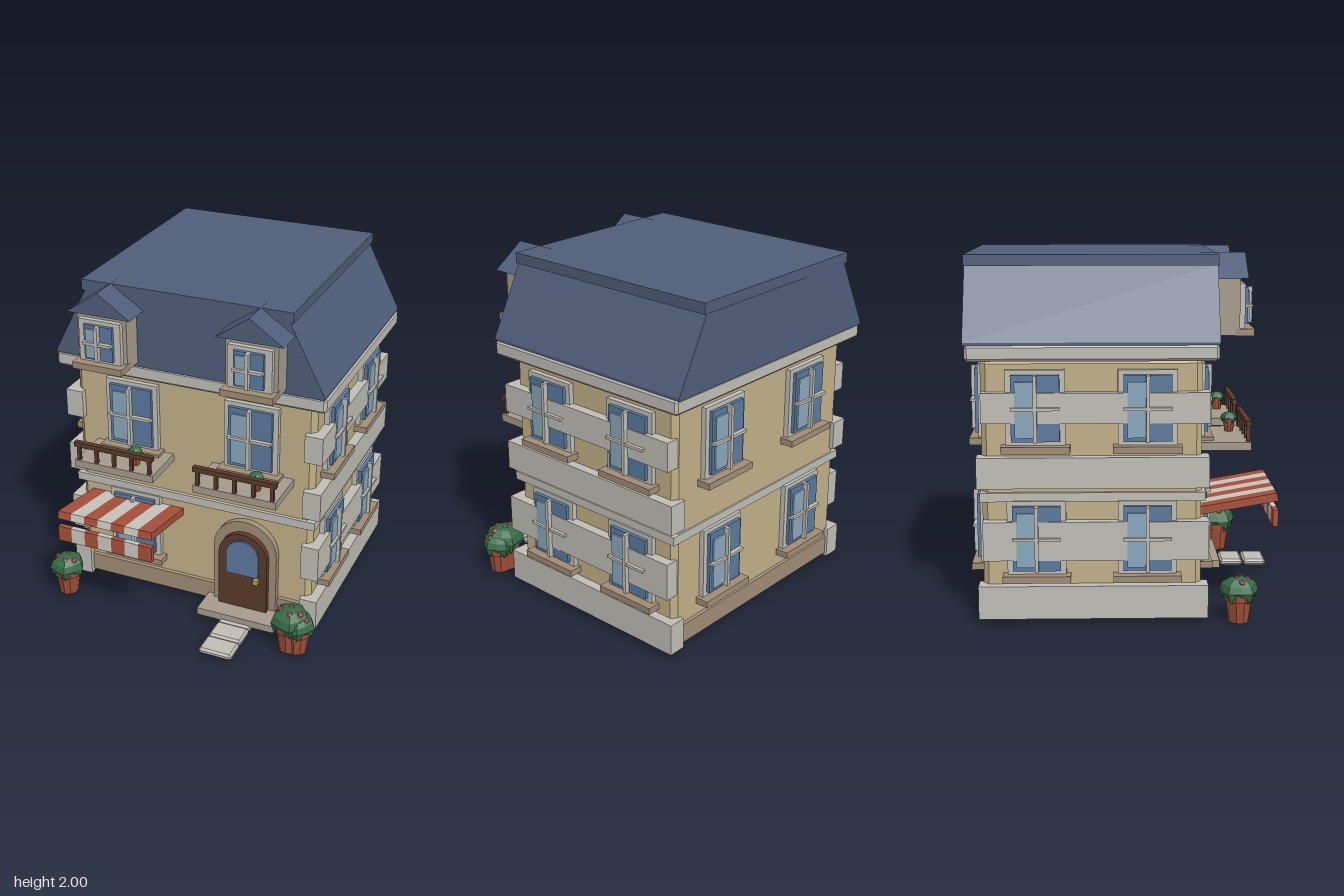
import * as THREE from 'three';
import { ConvexGeometry } from 'three/addons/geometries/ConvexGeometry.js';

const mat = (color, extra = {}) => new THREE.MeshStandardMaterial({ color, ...extra });
const M = {
  wall: mat(0xc2b088), stone: mat(0xc0beb6), sill: mat(0xa08d76), roof: mat(0x4f5e7a),
  glass: mat(0x5b7a9f), shine: mat(0x8aa8bd), wood: mat(0x5a3a2b), red: mat(0xa8503c),
  white: mat(0xcbc8c0), gold: mat(0xc2a23c), slab: mat(0xa59c8c),
  leaf: mat(0x356a45, { flatShading: true }), pot: mat(0xa0503a, { flatShading: true }),
  flower: mat(0xc85070, { flatShading: true }),
};

function add(parent, name, geo, material, x = 0, y = 0, z = 0) {
  const mesh = new THREE.Mesh(geo, material);
  mesh.name = name;
  mesh.position.set(x, y, z);
  parent.add(mesh);
  return mesh;
}

// Box given by its limits; a bevel cuts every edge
function box(parent, name, material, [x0, x1], [y0, y1], [z0, z1], bevel = 0) {
  const w = x1 - x0, h = y1 - y0, d = z1 - z0;
  let geo;
  if (bevel) {
    const pts = [];
    for (const sx of [-1, 1]) for (const sy of [-1, 1]) for (const sz of [-1, 1])
      for (let k = 0; k < 3; k++) {
        const cut = [bevel, bevel, bevel];
        cut[k] = 0;
        pts.push(new THREE.Vector3(sx * (w / 2 - cut[0]), sy * (h / 2 - cut[1]), sz * (d / 2 - cut[2])));
      }
    geo = new ConvexGeometry(pts);
  } else geo = new THREE.BoxGeometry(w, h, d);
  return add(parent, name, geo, material, (x0 + x1) / 2, (y0 + y1) / 2, (z0 + z1) / 2);
}

function group(parent, name, x = 0, y = 0, z = 0, turn = 0) {
  const g = new THREE.Group();
  g.name = name;
  g.position.set(x, y, z);
  g.rotation.y = turn;
  parent.add(g);
  return g;
}

const extrude = (shape, depth) =>
  new THREE.ExtrudeGeometry(shape, { depth, bevelEnabled: false, curveSegments: 10 });

const polygon = (pts) => new THREE.Shape(pts.map(([x, y]) => new THREE.Vector2(x, y)));

// Round-topped outline: half width r, foot at y0, arch centre at yc
function archShape(r, y0, yc) {
  const s = new THREE.Shape();
  s.moveTo(-r, y0);
  s.lineTo(r, y0);
  s.lineTo(r, yc);
  s.absarc(0, yc, r, 0, Math.PI, false);
  s.closePath();
  return s;
}

// Window facing local +z, standing out from the wall at z = 0
function addWindow(parent, x, y, z, turn, w = 0.32, h = 0.41, gw = 0.26, gh = 0.36) {
  const g = group(parent, 'window', x, y, z, turn);
  box(g, 'windowFrame', M.stone, [-w / 2, w / 2], [-h / 2, h / 2], [-0.02, 0.03]);
  box(g, 'glass', M.glass, [-gw / 2, gw / 2], [-gh / 2, gh / 2], [0, 0.05]);
  box(g, 'litPane', M.shine, [-gw * 0.42, -0.005], [-gh * 0.44, gh * 0.4], [0.03, 0.06]);
  box(g, 'uprightBar', M.stone, [-0.01, 0.01], [-gh / 2, gh / 2], [0.04, 0.08]);
  box(g, 'crossBar', M.stone, [-gw / 2, gw / 2], [-0.008, 0.008], [0.04, 0.075]);
  box(g, 'windowSill', M.sill, [-w / 2 - 0.025, w / 2 + 0.025], [-h / 2 - 0.035, -h / 2 + 0.003], [-0.025, 0.08]);
}

// Potted bush with a wavy lower edge; unit size = bush radius 0.1
function addPlant(parent, x, y, z, s, flowers) {
  const g = group(parent, 'pottedPlant', x, y, z);
  g.scale.setScalar(s);
  add(g, 'pot', new THREE.CylinderGeometry(0.08, 0.058, 0.16, 10), M.pot, 0, 0.08, 0);
  add(g, 'potRim', new THREE.CylinderGeometry(0.088, 0.084, 0.035, 10), M.pot, 0, 0.145, 0);
  const geo = new THREE.SphereGeometry(0.1, 10, 6);
  const p = geo.attributes.position;
  for (let i = 0; i < p.count; i++) {
    const a = Math.atan2(p.getZ(i), p.getX(i));
    const k = 1 + 0.07 * Math.cos(5 * a);
    const py = p.getY(i);
    p.setXYZ(i, p.getX(i) * k, py < -0.01 ? py * (0.65 + 0.3 * Math.cos(5 * a)) : py * 0.8, p.getZ(i) * k * 1.08);
  }
  add(g, 'bush', geo, M.leaf, 0, 0.18, 0);
  if (flowers) for (const [fx, fz] of [[-0.055, 0.01], [0, -0.012], [0.055, 0.015], [0.01, 0.045]])
    add(g, 'flower', new THREE.IcosahedronGeometry(0.02, 0), M.flower, fx, 0.247 - 3 * fx * fx - 3 * fz * fz, fz);
}

function addBalcony(parent, x) {
  const g = group(parent, 'balcony', x);
  box(g, 'balconySlab', M.slab, [-0.245, 0.245], [0.93, 0.975], [0.37, 0.67]);
  box(g, 'handRail', M.wood, [-0.245, 0.245], [1.06, 1.09], [0.64, 0.67]);
  for (let i = -2; i <= 2; i++)
    box(g, 'baluster', M.wood, [i * 0.11 - 0.01, i * 0.11 + 0.01], [0.97, 1.065], [0.645, 0.665]);
  addPlant(g, 0.095, 0.975, 0.58, 0.43, false);
}

function addDormer(parent, x) {
  const g = group(parent, 'dormer', x);
  box(g, 'dormerBody', M.slab, [-0.148, 0.148], [1.56, 1.875], [0.4, 0.6]);
  const gable = polygon([[-0.19, 1.868], [0.19, 1.868], [0, 2]]);
  add(g, 'dormerRoof', extrude(gable, 0.25), M.roof, 0, 0.002, 0.39);
  addWindow(g, 0, 1.716, 0.6, 0, 0.25, 0.245, 0.17, 0.2);
}

// Striped awning rising outwards, with a hanging valance
function addAwning(parent) {
  const g = group(parent, 'awning');
  const side = polygon([[0.39, 0.625], [0.39, 0.58], [0.82, 0.655], [0.81, 0.7]]);
  const step = 0.595 / 7;
  for (let i = 0; i < 7; i++) {
    const x = -0.66 + i * step, m = i % 2 ? M.white : M.red;
    const stripe = add(g, 'awningStripe', extrude(side, step), m, x + step, 0, 0);
    stripe.rotation.y = -Math.PI / 2;
    box(g, 'valanceStripe', m, [x, x + step], [0.51, 0.605], [0.79, 0.82]);
  }
}

function addDoor(parent) {
  const g = group(parent, 'door', 0.34);
  add(g, 'doorSurround', extrude(archShape(0.195, 0.08, 0.455), 0.06), M.sill, 0, 0, 0.37);
  add(g, 'doorLeaf', extrude(archShape(0.15, 0.08, 0.435), 0.085), M.wood, 0, 0, 0.38);
  add(g, 'doorGlass', extrude(archShape(0.1, 0.315, 0.443), 0.035), M.glass, 0, 0, 0.44);
  box(g, 'doorHandle', M.gold, [0.075, 0.105], [0.28, 0.31], [0.46, 0.492]);
  box(g, 'doorstep', M.slab, [-0.24, 0.24], [0.04, 0.085], [0.37, 0.575]);
  for (const z of [0.45, 0.595, 0.74])
    box(g, 'pavingStone', M.stone, [-0.1, 0.1], [0.01, 0.048], [z, z + 0.138], 0.012);
}

export function createModel() {
  const house = new THREE.Group();
  house.name = 'townHouse';

  // Walls and stone bands
  box(house, 'walls', M.wall, [-0.73, 0.73], [0.03, 1.46], [-0.8, 0.39], 0.03);
  box(house, 'plinth', M.sill, [-0.74, 0.74], [0.03, 0.178], [-0.81, 0.4], 0.018);
  box(house, 'stringCourse', M.stone, [-0.75, 0.75], [0.68, 0.73], [-0.81, 0.41]);
  box(house, 'cornice', M.stone, [-0.808, 0.808], [1.45, 1.54], [-0.873, 0.472], 0.015);
  const bands = [[0.03, 0.215, -0.825], [0.36, 0.575, -0.795], [0.76, 0.93, -0.825], [1.115, 1.28, -0.795]];
  for (const s of [-1, 1])
    for (const [y0, y1, back] of bands)
      box(house, 'sideBand', M.stone, s < 0 ? [-0.785, -0.68] : [0.68, 0.785], [y0, y1], [back, 0.428]);

  // Mansard roof with a flat cap
  const mansard = polygon([[-0.8, 1.535], [0.8, 1.535], [0.8, 1.55], [0.595, 1.945], [-0.595, 1.945], [-0.8, 1.55]]);
  add(house, 'mansardRoof', extrude(mansard, 1.36), M.roof, 0, 0, -0.883);
  box(house, 'roofCap', M.roof, [-0.616, 0.616], [1.94, 2], [-0.887, 0.48]);

  // Windows on all sides; the door takes one place on the front
  for (const y of [0.48, 1.195]) {
    for (const x of [-0.365, 0.365]) {
      if (y > 1 || x < 0) addWindow(house, x, y, 0.39, 0);
      addWindow(house, x, y, -0.8, Math.PI);
    }
    for (const z of [0.095, -0.505])
      for (const s of [-1, 1]) addWindow(house, s * 0.73, y, z, s * Math.PI / 2);
  }

  for (const s of [-1, 1]) {
    addBalcony(house, s * 0.367);
    addDormer(house, s * 0.436);
  }
  addAwning(house);
  addDoor(house);

  // Plants beside the house
  addPlant(house, -0.748, 0, 0.6, 0.98, true);
  addPlant(house, 0.695, 0, 0.61, 1.08, true);
  addPlant(house, 0.74, 0, 0.61, 0.95, true);
  return house;
}
